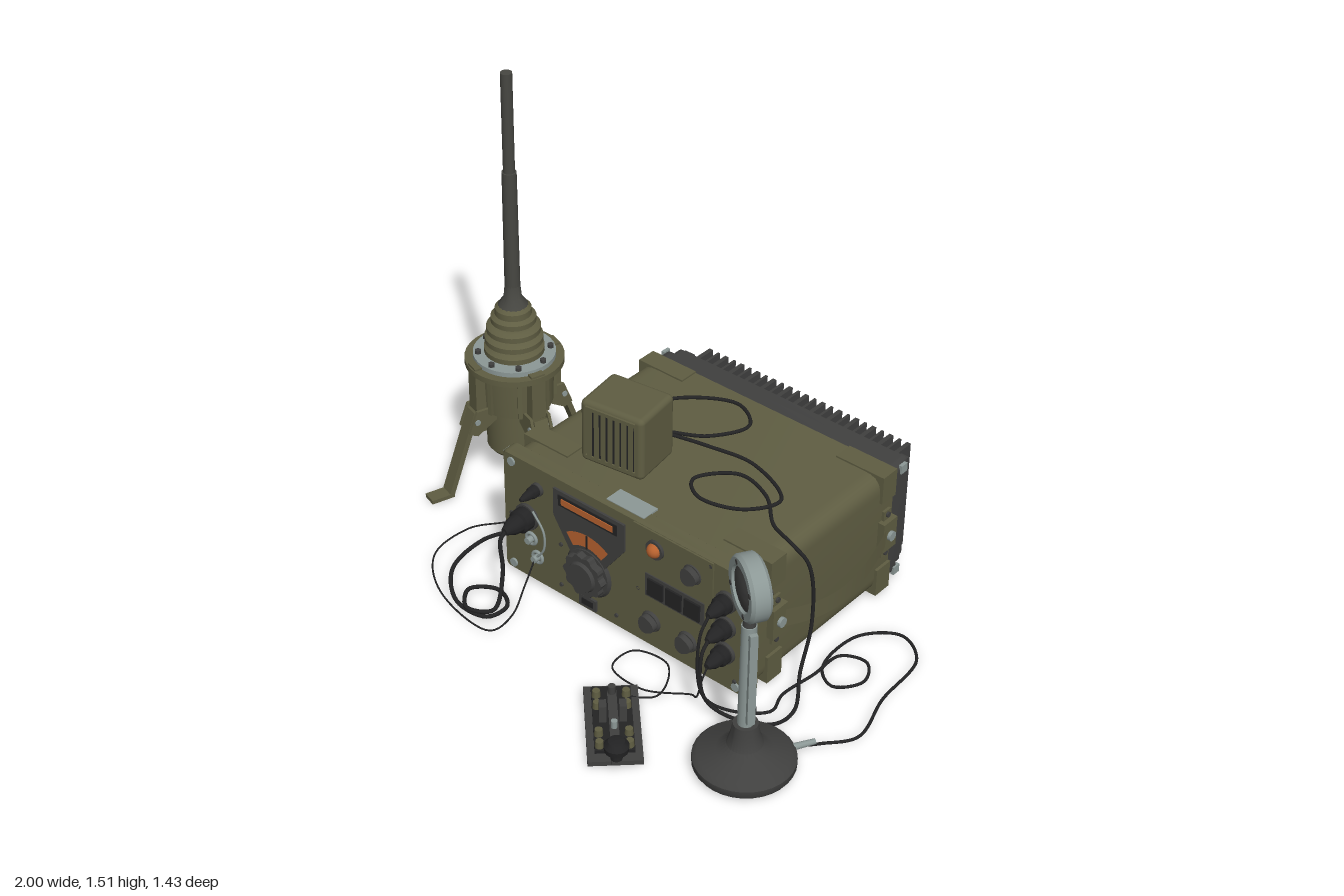
import * as THREE from 'three';
import { toCreasedNormals } from 'three/addons/utils/BufferGeometryUtils.js';
import { RoundedBoxGeometry } from 'three/addons/geometries/RoundedBoxGeometry.js';

const material = (name, color) => Object.assign(new THREE.MeshStandardMaterial({ color }), { name });
const olive = material('olive paint', 0x5f5d42);
const charcoal = material('charcoal metal', 0x40403f);
const mastGrey = material('mast grey', 0x474742);
const black = material('black rubber', 0x232324);
const steel = material('pale steel', 0x8c9896);
const orange = material('amber glass', 0xb8622f);

const box = (w, h, d) => new THREE.BoxGeometry(w, h, d);
const cyl = (r1, r2, h, n = 24) => new THREE.CylinderGeometry(r1, r2, h, n);
const lathe = (pts, n = 32) =>
  toCreasedNormals(new THREE.LatheGeometry(pts.map(p => new THREE.Vector2(...p)), n), 0.6);

function add(parent, name, geo, mat, pos = [0, 0, 0], rot = [0, 0, 0]) {
  const m = new THREE.Mesh(geo, mat);
  m.name = name;
  m.position.set(...pos);
  m.rotation.set(...rot);
  parent.add(m);
  return m;
}

function group(parent, name, pos = [0, 0, 0], ry = 0) {
  const g = new THREE.Group();
  g.name = name;
  g.position.set(...pos);
  g.rotation.y = ry;
  parent.add(g);
  return g;
}

function cable(parent, name, pts, r = 0.006) {
  const curve = new THREE.CatmullRomCurve3(pts.map(p => new THREE.Vector3(...p)));
  add(parent, name, new THREE.TubeGeometry(curve, pts.length * 9, r, 7), black);
}

// Rounded rectangle extruded along z, from z0 to z1
function slab(w, h, r, z0, z1, bevel = 0) {
  const s = new THREE.Shape(), x = w / 2 - bevel, y = h / 2 - bevel;
  s.moveTo(-x + r, -y).lineTo(x - r, -y).quadraticCurveTo(x, -y, x, -y + r);
  s.lineTo(x, y - r).quadraticCurveTo(x, y, x - r, y);
  s.lineTo(-x + r, y).quadraticCurveTo(-x, y, -x, y - r);
  s.lineTo(-x, -y + r).quadraticCurveTo(-x, -y, -x + r, -y);
  const g = new THREE.ExtrudeGeometry(s, { depth: z1 - z0 - 2 * bevel, curveSegments: 6,
    bevelEnabled: bevel > 0, bevelSize: bevel, bevelThickness: bevel, bevelSegments: 1 });
  return toCreasedNormals(g.translate(0, 0, z0 + bevel), 0.6);
}

const FACE = 0.172, CX = 0.15, CY = 0.242, Q = Math.PI / 2;

function buildCase(root) {
  const g = group(root, 'radioCase');
  add(g, 'caseBody', slab(0.97, 0.45, 0.06, -0.55, 0.13), olive, [CX, CY, 0]);
  add(g, 'frontBezel', slab(0.995, 0.465, 0.02, 0.115, FACE, 0.008), olive, [CX, CY, 0]);
  add(g, 'rearGasket', slab(0.965, 0.435, 0.03, -0.6, -0.55), charcoal, [CX, CY, 0]);
  add(g, 'bottomSlot', box(0.4, 0.006, 0.03), black, [CX, 0.016, -0.2]);
  add(g, 'topLabel', box(0.15, 0.006, 0.065), steel, [0.15, 0.474, 0.125]);
  for (const s of [-1, 1]) {
    const x = CX + s * 0.485;
    for (const z of [0.037, -0.515]) {
      // corner wraps on top and bottom edges, strap bracket between them
      for (const t of [-1, 1]) {
        add(g, 'cornerWrapFlat', box(0.18, 0.014, 0.07), olive, [x - s * 0.083, CY + t * 0.224, z]);
        add(g, 'cornerWrapSide', box(0.03, 0.1, 0.07), olive, [x - s * 0.005, CY + t * 0.181, z]);
        add(g, 'wrapScrew', cyl(0.009, 0.009, 0.008, 8), charcoal, [x + s * 0.012, CY + t * 0.075, z], [0, 0, Q]);
      }
      add(g, 'bracketPlate', box(0.012, 0.18, 0.035), olive, [x + s * 0.003, CY, z]);
      add(g, 'strapBracket', box(0.025, 0.11, 0.068), olive, [x + s * 0.012, CY, z]);
      add(g, 'strapBolt', cyl(0.017, 0.017, 0.012, 10), steel, [x + s * 0.03, CY, z], [0, 0, Q]);
    }
    // sagging webbing handle
    const strap = new THREE.PlaneGeometry(0.55, 0.065, 20, 1).rotateY(Q).translate(0, 0, -0.24);
    const p = strap.attributes.position;
    for (let i = 0; i < p.count; i++) {
      const bow = Math.sin(Math.PI * (p.getZ(i) + 0.515) / 0.55);
      p.setX(i, s * (0.02 + 0.035 * bow));
      p.setY(i, p.getY(i) - 0.055 * bow);
    }
    strap.computeVertexNormals();
    const strapMat = olive.clone();
    strapMat.name = 'olive webbing';
    strapMat.side = THREE.DoubleSide;
    add(g, 'carryStrap', strap, strapMat, [x, CY + 0.005, 0]);
    for (const t of [-1, 1]) {
      add(g, 'frontCornerScrew', cyl(0.015, 0.015, 0.014, 10), steel, [CX + s * 0.455, CY + t * 0.2, FACE], [Q, 0, 0]);
      add(g, 'bezelClip', box(0.012, 0.03, 0.03), steel, [CX + s * 0.495, CY + t * 0.2, 0.145]);
      add(g, 'rearClip', box(0.012, 0.03, 0.03), steel, [CX + s * 0.482, CY + t * 0.2, -0.6]);
    }
  }
  // finned rear
  add(g, 'heatsinkPlate', slab(0.93, 0.415, 0.02, -0.645, -0.6), charcoal, [CX, CY, 0]);
  for (let i = 0; i < 25; i++)
    add(g, 'coolingFin', box(i % 2 ? 0.009 : 0.015, 0.4, 0.08), charcoal, [-0.236 + i * 0.0335, CY, -0.68]);
  for (const s of [-1, 1]) add(g, 'heatsinkRail', box(0.04, 0.38, 0.03), charcoal, [CX + s * 0.435, CY, -0.655]);
  for (const [x, y] of [[0.3, 0.24], [0.02, 0.32], [0.02, 0.16]]) {
    add(g, 'heatsinkPost', box(0.045, 0.05, 0.06), charcoal, [x, y, -0.67]);
    add(g, 'heatsinkBolt', cyl(0.02, 0.02, 0.012, 10), steel, [x, y, -0.704], [Q, 0, 0]);
  }
}

function knob(g, name, x, y, r, depth, mat = charcoal) {
  add(g, name + 'Skirt', cyl(r * 1.05, r * 1.15, 0.01), mat, [x, y, FACE + 0.005], [Q, 0, 0]);
  const s = new THREE.Shape();
  for (let i = 0; i <= 48; i++) {
    const a = i / 48 * 2 * Math.PI, k = r * (0.93 + 0.07 * Math.cos(a * (r > 0.05 ? 10 : 3)));
    s[i ? 'lineTo' : 'moveTo'](k * Math.cos(a), k * Math.sin(a));
  }
  add(g, name, new THREE.ExtrudeGeometry(s, { depth, bevelEnabled: false }), mat, [x, y, FACE]);
}

function plug(g, name, x, y, r = 0.033, len = 0.1) {
  add(g, name + 'Ring', cyl(r * 1.15, r * 1.15, 0.012), charcoal, [x, y, FACE + 0.006], [Q, 0, 0]);
  add(g, name, lathe([[0, 0], [r, 0], [r, len * 0.4], [r * 0.8, len * 0.45], [r * 0.7, len * 0.7], [r * 0.3, len], [0, len]], 18),
    black, [x, y, FACE], [Q, 0, 0]);
}

function buildPanel(root) {
  const g = group(root, 'frontPanel');
  // tuning dial with fan shaped scale
  const fan = new THREE.Shape();
  fan.moveTo(-0.125, 0.432).lineTo(0.165, 0.432).lineTo(0.165, 0.33).lineTo(0.085, 0.22)
    .lineTo(-0.055, 0.22).lineTo(-0.125, 0.33);
  add(g, 'dialPlate', new THREE.ExtrudeGeometry(fan, { depth: 0.008, bevelEnabled: false }), charcoal, [0, 0, FACE]);
  add(g, 'frequencyFrame', box(0.24, 0.04, 0.006), black, [0.018, 0.398, FACE + 0.008]);
  add(g, 'frequencyWindow', box(0.21, 0.022, 0.006), orange, [0.018, 0.398, FACE + 0.011]);
  add(g, 'dialArc', new THREE.RingGeometry(0.1, 0.148, 24, 1, 0.95, 1.24), orange, [0.016, 0.17, FACE + 0.01]);
  add(g, 'dialPointer', box(0.005, 0.05, 0.004), black, [0.016, 0.292, FACE + 0.011]);
  knob(g, 'tuningKnob', 0.016, 0.172, 0.08, 0.035);
  add(g, 'tuningKnobCap', cyl(0.05, 0.055, 0.012), charcoal, [0.016, 0.172, FACE + 0.04], [Q, 0, 0]);
  add(g, 'counterFrame', box(0.07, 0.042, 0.008), charcoal, [0.014, 0.05, FACE + 0.004]);
  add(g, 'counterWindow', box(0.045, 0.022, 0.006), black, [0.014, 0.05, FACE + 0.007]);
  // right hand control plate
  add(g, 'controlPlate', box(0.31, 0.26, 0.008), olive, [0.355, 0.335, FACE + 0.002]);
  add(g, 'lampRing', cyl(0.033, 0.033, 0.016), charcoal, [0.29, 0.406, FACE + 0.008], [Q, 0, 0]);
  add(g, 'lamp', new THREE.SphereGeometry(0.025, 16, 10), orange, [0.29, 0.406, FACE + 0.012]);
  knob(g, 'gainKnob', 0.432, 0.385, 0.032, 0.03);
  for (const x of [0.27, 0.415]) knob(g, 'modeKnob', x, 0.113, 0.032, 0.03);
  add(g, 'switchFrame', box(0.23, 0.085, 0.008), charcoal, [0.367, 0.257, FACE + 0.006]);
  for (const i of [-1, 0, 1]) add(g, 'rockerSwitch', box(0.06, 0.062, 0.014), black, [0.367 + i * 0.072, 0.257, FACE + 0.01]);
  // plugs and sockets
  for (const y of [0.35, 0.255, 0.155]) plug(g, 'rightPlug', 0.562, y, 0.032, 0.09);
  plug(g, 'antennaPlug', -0.24, 0.26, 0.04, 0.11);
  plug(g, 'togglePlug', -0.195, 0.388, 0.02, 0.08);
  for (const [x, y] of [[-0.2, 0.118], [-0.225, 0.18]]) {
    add(g, 'socketRing', new THREE.TorusGeometry(0.02, 0.006, 8, 20), steel, [x, y, FACE + 0.004]);
    add(g, 'socketPin', cyl(0.012, 0.012, 0.03, 12), steel, [x, y, FACE + 0.01], [Q, 0, 0]);
  }
  const chain = new THREE.CatmullRomCurve3([[-0.21, 0.3], [-0.165, 0.24], [-0.165, 0.17], [-0.2, 0.12]].map(p => new THREE.Vector3(...p, FACE + 0.012)));
  add(g, 'capChain', new THREE.TubeGeometry(chain, 20, 0.004, 6), steel);
  for (const [x, y] of [[-0.31, 0.24], [-0.1, 0.06], [0.13, 0.06], [0.6, 0.06], [0.22, 0.22], [0.5, 0.45], [-0.1, 0.22]])
    add(g, 'panelScrew', cyl(0.007, 0.007, 0.006, 8), charcoal, [x, y, FACE + 0.003], [Q, 0, 0]);
}

function buildSpeaker(root) {
  const g = group(root, 'speaker', [-0.022, 0.475, -0.05], 0.14);
  add(g, 'speakerBox', new RoundedBoxGeometry(0.228, 0.225, 0.185, 3, 0.018), olive, [0, 0.1125, 0]);
  add(g, 'grilleRecess', box(0.17, 0.18, 0.008), black, [0, 0.115, 0.09]);
  for (let i = 0; i < 7; i++) add(g, 'grilleSlat', box(0.015, 0.18, 0.01), olive, [-0.075 + i * 0.025, 0.115, 0.094]);
  for (const t of [-1, 1]) add(g, 'grilleBar', box(0.18, 0.012, 0.01), olive, [0, 0.115 + t * 0.09, 0.094]);
  add(g, 'ratingPlate', box(0.07, 0.04, 0.006), steel, [0, 0.125, -0.093]);
  add(g, 'cableGland', cyl(0.012, 0.015, 0.03, 12), black, [0, 0.03, -0.1], [Q, 0, 0]);
}

function buildAntenna(root) {
  const g = group(root, 'antenna', [-0.675, 0, -0.235], -0.31);
  add(g, 'upperMast', cyl(0.019, 0.019, 0.36, 16), mastGrey, [0, 1.327, 0]);
  add(g, 'lowerMast', cyl(0.024, 0.026, 0.5, 16), mastGrey, [0, 0.91, 0]);
  add(g, 'mastCollar', lathe([[0.06, 0.645], [0.05, 0.67], [0.03, 0.7], [0.025, 0.75]], 20), mastGrey);
  const bell = [[0.1, 0.48]];
  for (const [y, r] of [[0.505, 0.1], [0.545, 0.097], [0.583, 0.09], [0.62, 0.075]])
    for (const [dy, dr] of [[-0.018, -0.014], [-0.01, 0], [0.008, 0], [0.018, -0.014]]) bell.push([r + dr, y + dy]);
  bell.push([0.06, 0.66], [0.035, 0.685], [0, 0.685]);
  add(g, 'insulatorBellows', lathe(bell), olive);
  add(g, 'clampRing', lathe([[0.09, 0.472], [0.137, 0.472], [0.137, 0.49], [0.09, 0.49]]), steel);
  add(g, 'housing', lathe([[0, 0.117], [0.09, 0.117], [0.1, 0.13], [0.1, 0.29], [0.125, 0.3], [0.13, 0.44], [0.165, 0.452], [0.165, 0.473], [0, 0.473]]), olive);
  add(g, 'bottomSocket', cyl(0.035, 0.035, 0.03, 16), steel, [0, 0.11, 0]);
  for (let i = 0; i < 8; i++) {
    const a = (i + 0.5) * Math.PI / 4;
    add(g, 'ringBolt', cyl(0.011, 0.011, 0.014, 6), charcoal, [0.12 * Math.cos(a), 0.495, 0.12 * Math.sin(a)]);
    add(g, 'housingRib', box(0.03, 0.14, 0.014), olive, [0.122 * Math.cos(a), 0.375, 0.122 * Math.sin(a)], [0, -a, 0]);
  }
  // four splayed legs
  for (let i = 0; i < 4; i++) {
    const leg = group(g, 'leg', [0, 0, 0], i * Q);
    add(leg, 'legEar', box(0.04, 0.17, 0.05), olive, [0.14, 0.395, 0]);
    for (const t of [-1, 1]) {
      const s = new THREE.Shape();
      s.moveTo(0.09, 0.32).lineTo(0.165, 0.32).lineTo(0.195, 0.24).lineTo(0.165, 0.225).lineTo(0.09, 0.27);
      add(leg, 'hingeCheek', new THREE.ExtrudeGeometry(s, { depth: 0.01, bevelEnabled: false }), olive, [0, 0, t * 0.033 - 0.005]);
    }
    add(leg, 'hingePin', cyl(0.01, 0.01, 0.085, 10), steel, [0.165, 0.28, 0], [Q, 0, 0]);
    add(leg, 'legPlate', box(0.018, 0.31, 0.05), olive, [0.212, 0.16, 0], [0, 0, 0.337]);
    add(leg, 'foot', box(0.083, 0.014, 0.05), olive, [0.297, 0.008, 0]);
  }
}

function buildMicrophone(root) {
  const g = group(root, 'microphone', [0.807, 0, 0.382], -0.54);
  add(g, 'micBase', lathe([[0, 0.008], [0.15, 0.008], [0.155, 0.016], [0.155, 0.036], [0.14, 0.05], [0.085, 0.065], [0.055, 0.09], [0.043, 0.13], [0.038, 0.165], [0, 0.165]]), charcoal);
  add(g, 'micPole', cyl(0.023, 0.025, 0.37, 18), steel, [0, 0.345, 0]);
  add(g, 'poleTop', cyl(0.016, 0.02, 0.05, 18), charcoal, [0, 0.55, 0]);
  add(g, 'headSocket', cyl(0.025, 0.02, 0.02, 18), steel, [0, 0.57, 0]);
  add(g, 'talkBar', box(0.014, 0.33, 0.024), steel, [0.036, 0.355, 0]);
  for (const y of [0.2, 0.5]) add(g, 'barClamp', box(0.03, 0.02, 0.02), steel, [0.026, y, 0]);
  add(g, 'talkSwitch', box(0.02, 0.025, 0.012), black, [0, 0.21, -0.022]);
  const head = group(g, 'micHead', [0, 0.665, 0]);
  add(head, 'headShell', lathe([[0, -0.032], [0.09, -0.032], [0.1, -0.022], [0.1, 0.022], [0.092, 0.032], [0.07, 0.032], [0.066, 0.024], [0, 0.024]]), steel, [0, 0, 0], [Q, 0, 0]);
  add(head, 'micMesh', lathe([[0.066, 0.024], [0.04, 0.032], [0, 0.036]]), charcoal, [0, 0, 0], [Q, 0, 0]);
  for (let i = 0; i < 4; i++) for (const z of [-0.032, 0.031])
    add(head, 'headScrew', cyl(0.008, 0.008, 0.006, 8), charcoal, [0.08 * Math.cos(i * Q + 0.4), 0.08 * Math.sin(i * Q + 0.4), z], [Q, 0, 0]);
  add(root, 'micCablePlug', cyl(0.009, 0.011, 0.07, 10), steel, [0.905, 0.03, 0.225], [-Q, 0, -0.5]);
}

function buildKey(root) {
  const g = group(root, 'telegraphKey', [0.415, 0, 0.515], -0.8);
  add(g, 'keyBase', box(0.33, 0.016, 0.165), charcoal, [0, 0.01, 0]);
  add(g, 'keyPlate', box(0.28, 0.012, 0.12), black, [-0.01, 0.022, 0]);
  add(g, 'keyArm', box(0.3, 0.018, 0.028), charcoal, [0.07, 0.066, 0]);
  for (const s of [-1, 1]) {
    add(g, 'pivotPost', box(0.035, 0.065, 0.022), charcoal, [-0.01, 0.055, s * 0.03]);
    for (const x of [-0.11, -0.06, 0.06, 0.11]) add(g, 'terminal', cyl(0.012, 0.014, 0.025, 10), olive, [x, 0.038, s * 0.045]);
  }
  add(g, 'springPost', cyl(0.012, 0.012, 0.085, 10), charcoal, [-0.07, 0.06, 0]);
  add(g, 'contactScrew', cyl(0.01, 0.01, 0.08, 10), steel, [0.08, 0.06, 0]);
  add(g, 'keyKnob', lathe([[0, 0.075], [0.018, 0.078], [0.018, 0.1], [0.036, 0.11], [0.038, 0.128], [0.025, 0.145], [0, 0.15]], 20), black, [0.215, 0, 0]);
}

function buildCables(root) {
  const g = group(root, 'cables'), T = 0.479, F = 0.009;
  cable(g, 'speakerCable', [[-0.035, 0.5, -0.16], [-0.02, T, -0.21], [-0.14, T, -0.26], [-0.11, T, -0.38], [0.06, T, -0.49], [0.165, T, -0.42],
    [0.1, T, -0.29], [-0.02, T, -0.22], [0.13, T, -0.25], [0.3, T, -0.27], [0.48, T, -0.18], [0.42, T, -0.07], [0.28, T, -0.03], [0.21, T, -0.09],
    [0.3, T, -0.2], [0.43, T, -0.17], [0.54, T, -0.07], [0.64, T + 0.004, -0.03], [0.69, 0.42, -0.05], [0.705, 0.2, -0.06], [0.715, 0.05, 0],
    [0.78, F, 0.11], [0.77, F, 0.2], [0.65, F, 0.26], [0.58, 0.06, 0.29], [0.565, 0.22, 0.29], [0.562, 0.255, 0.255]]);
  cable(g, 'microphoneCable', [[0.89, 0.03, 0.25], [0.93, F, 0.17], [0.993, F, 0.08], [0.95, F, -0.1], [0.92, F, -0.32], [0.82, F, -0.38], [0.72, F, -0.29],
    [0.725, F, -0.1], [0.8, F, -0.05], [0.86, F, -0.13], [0.82, 0.016, -0.2], [0.74, 0.018, -0.17], [0.73, 0.016, -0.05], [0.71, F, 0.08],
    [0.73, F, 0.16], [0.63, F, 0.24], [0.58, 0.08, 0.3], [0.565, 0.3, 0.3], [0.562, 0.35, 0.255]], 0.005);
  cable(g, 'keyCable', [[0.36, 0.02, 0.41], [0.43, F, 0.33], [0.36, F, 0.2], [0.24, F, 0.22], [0.24, F, 0.32], [0.38, 0.012, 0.34], [0.5, F, 0.26],
    [0.55, 0.05, 0.29], [0.562, 0.12, 0.28], [0.562, 0.155, 0.255]], 0.003);
  cable(g, 'antennaCable', [[-0.67, 0.11, -0.235], [-0.66, 0.04, -0.21], [-0.53, F, -0.15], [-0.44, F, -0.03], [-0.49, F, 0.13], [-0.46, F, 0.3], [-0.33, F, 0.41],
    [-0.21, F, 0.4], [-0.2, F, 0.32], [-0.28, F, 0.28], [-0.345, 0.014, 0.34], [-0.28, 0.02, 0.42], [-0.2, 0.03, 0.38], [-0.225, 0.12, 0.31],
    [-0.24, 0.24, 0.3], [-0.24, 0.26, 0.275]], 0.007);
  cable(g, 'groundWire', [[-0.7, 0.11, -0.23], [-0.64, 0.03, -0.18], [-0.49, 0.005, -0.04], [-0.57, 0.005, 0.11], [-0.56, 0.005, 0.28], [-0.4, 0.005, 0.41],
    [-0.16, 0.005, 0.44], [-0.16, 0.005, 0.34], [-0.19, 0.05, 0.25], [-0.2, 0.118, 0.19]], 0.003);
}

export function createModel() {
  const root = new THREE.Group();
  root.name = 'fieldRadioSet';
  [buildCase, buildPanel, buildSpeaker, buildAntenna, buildMicrophone, buildKey, buildCables].forEach(f => f(root));
  return root;
}
